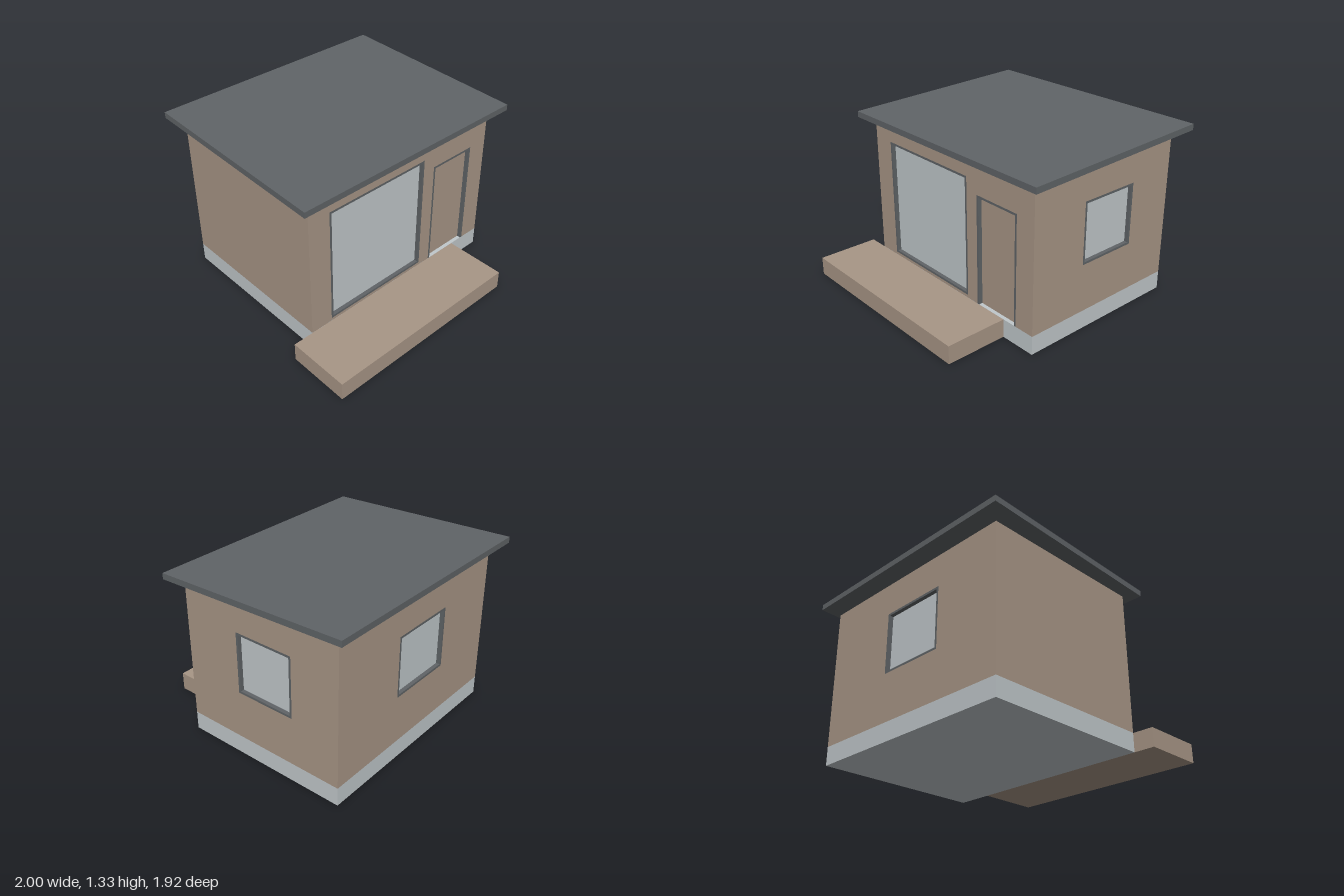
import * as THREE from 'three';

const X0 = -0.84, X1 = 0.895, Z0 = -0.86, Z1 = 0.478; // wall outline
const FLOOR = 0.143, TOP = 1.238, WALL = 0.05, REVEAL = 0.03, TRIM = 0.017;

const mat = (name, color) => Object.assign(new THREE.MeshStandardMaterial({ color }), { name });

export function createModel() {
  const render = mat('tan render', 0xa89686);
  const pale = mat('pale grey', 0xc1c8cb);
  const dark = mat('dark grey', 0x606467);
  const house = new THREE.Group();
  house.name = 'house';

  const add = (parent, name, geometry, material) => {
    const mesh = new THREE.Mesh(geometry, material);
    mesh.name = name;
    parent.add(mesh);
    return mesh;
  };
  const block = (name, x0, x1, y0, y1, z0, z1, material, parent = house) => {
    const mesh = add(parent, name, new THREE.BoxGeometry(x1 - x0, y1 - y0, z1 - z0), material);
    mesh.position.set((x0 + x1) / 2, (y0 + y1) / 2, (z0 + z1) / 2);
    return mesh;
  };
  const rect = ([u0, u1, v0, v1]) => [[u0, v0], [u1, v0], [u1, v1], [u0, v1]]
    .map(([u, v]) => new THREE.Vector2(u, v));
  // Extrudes inward from the outer face at local z = 0
  const slab = (shape, depth) =>
    new THREE.ExtrudeGeometry(shape, { depth, bevelEnabled: false }).translate(0, 0, -depth);

  // A wall facing local +z, with recessed windows and an optional door reaching the floor
  function wall(name, u0, u1, windows = [], door = null) {
    const group = new THREE.Group();
    group.name = name;
    house.add(group);
    const outline = rect([u0, u1, FLOOR, TOP]);
    if (door) {
      const [d0, d1, , top] = door;
      outline.splice(1, 0, ...[[d0, FLOOR], [d0, top], [d1, top], [d1, FLOOR]]
        .map(([u, v]) => new THREE.Vector2(u, v)));
      const frame = new THREE.Shape([[d0, FLOOR], [d0 + TRIM, FLOOR], [d0 + TRIM, top - TRIM],
        [d1 - TRIM, top - TRIM], [d1 - TRIM, FLOOR], [d1, FLOOR], [d1, top], [d0, top]]
        .map(([u, v]) => new THREE.Vector2(u, v)));
      add(group, 'doorFrame', slab(frame, WALL), dark);
      block('door', d0 + TRIM, d1 - TRIM, FLOOR, top - TRIM, -WALL, -REVEAL, render, group);
    }
    const shape = new THREE.Shape(outline);
    for (const w of windows) {
      const [a, b, c, d] = w;
      const inner = [a + TRIM, b - TRIM, c + TRIM, d - TRIM];
      shape.holes.push(new THREE.Path(rect(w).reverse()));
      const frame = new THREE.Shape(rect(w));
      frame.holes.push(new THREE.Path(rect(inner).reverse()));
      add(group, 'windowFrame', slab(frame, WALL), dark);
      block('windowPane', ...inner, -WALL, -REVEAL, pale, group);
    }
    add(group, 'wallPanel', slab(shape, WALL), render);
    return group;
  }

  // Walls: u runs to the viewer's right when facing each one
  wall('frontWall', X0, X1, [[-0.66, 0.23, 0.165, 1.093]], [0.335, 0.733, FLOOR, 0.99])
    .position.z = Z1;
  const back = wall('backWall', -X1, -X0, [[-0.257, 0.287, 0.514, 0.99]]);
  back.rotation.y = Math.PI;
  back.position.z = Z0;
  const left = wall('leftWall', -Z1 + WALL, -Z0 - WALL, [[-0.01, 0.472, 0.514, 0.99]]);
  left.rotation.y = Math.PI / 2;
  left.position.x = X1;
  const right = wall('rightWall', Z0 + WALL, Z1 - WALL);
  right.rotation.y = -Math.PI / 2;
  right.position.x = X0;

  // Base, ceiling and front terrace
  block('plinth', X0, X1, 0, FLOOR, Z0, Z1, pale);
  block('ceiling', X0 + WALL, X1 - WALL, TOP - 0.03, TOP, Z0 + WALL, Z1 - WALL, render);
  block('terrace', -1, 0.61, 0, 0.142, Z1, 0.96, render);

  // Single-pitch roof, rising towards the back
  const roof = new THREE.BoxGeometry(1.938, 0.046, 1.535);
  const p = roof.attributes.position;
  for (let i = 0; i < p.count; i++) p.setY(i, p.getY(i) - p.getZ(i) * 0.0313);
  roof.computeVertexNormals();
  add(house, 'roof', roof, dark).position.set(0.031, 1.287, -0.195);

  return house;
}
